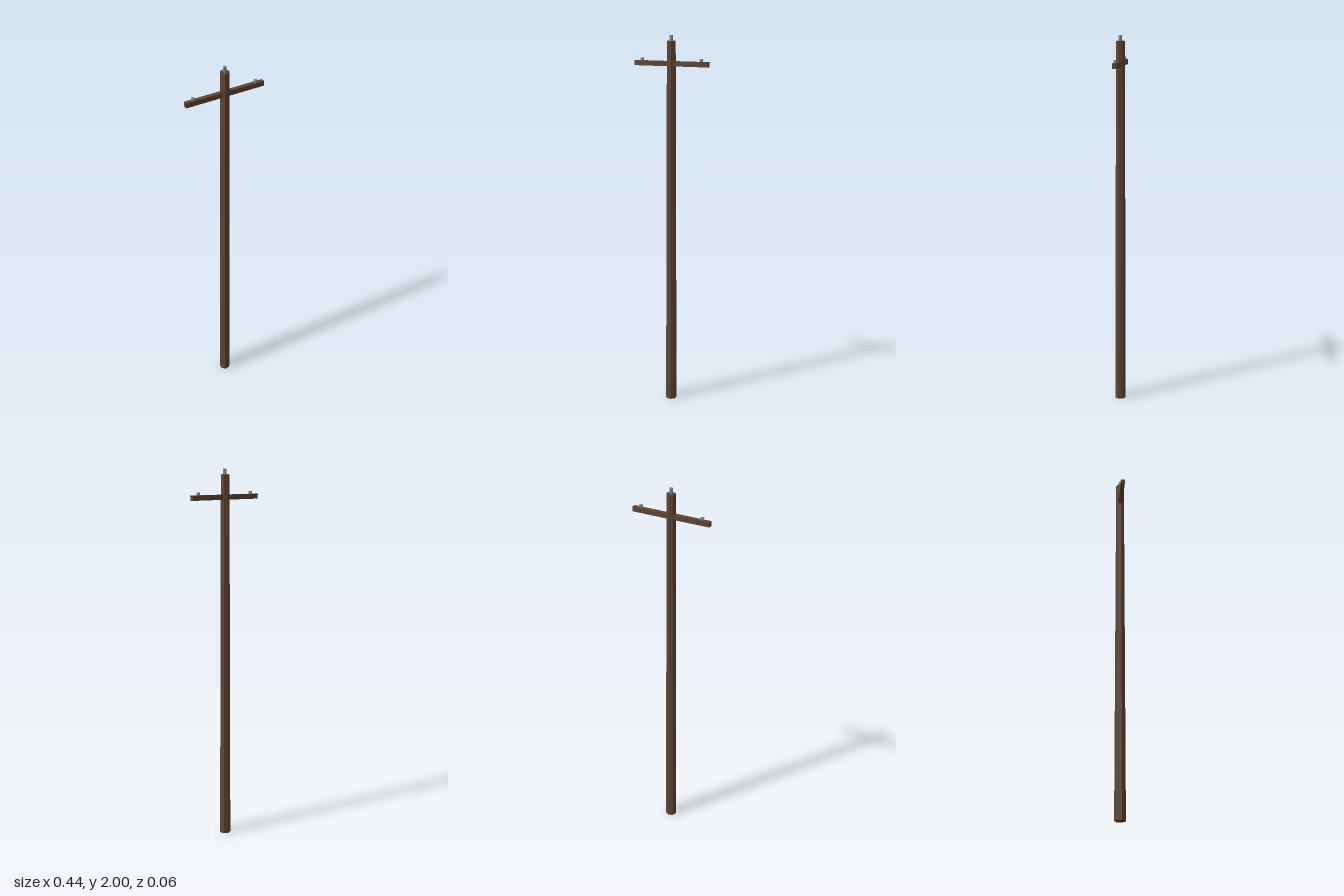
import * as THREE from 'three';

export function createModel() {
  const model = new THREE.Group();
  const wood = new THREE.MeshStandardMaterial({ name: 'brown wood', color: 0x5f4535, flatShading: true });
  const ceramic = new THREE.MeshStandardMaterial({ name: 'grey ceramic', color: 0x7f9090, flatShading: true });
  const axisZ = 0.001;

  const add = (name, geometry, material, x, y) => {
    const mesh = new THREE.Mesh(geometry, material);
    mesh.name = name;
    mesh.position.set(x, y, axisZ);
    model.add(mesh);
  };

  // Upright tapered prism with one corner pointing to the back
  const prism = (rTop, rBottom, height, sides) =>
    new THREE.CylinderGeometry(rTop, rBottom, height, sides).rotateY(Math.PI);

  // Seven-sided tapered pole
  add('pole', prism(0.0235, 0.0303, 1.972, 7), wood, 0, 0.986);

  // Horizontal beam through the pole
  add('crossarm', new THREE.BoxGeometry(0.437, 0.026, 0.022), wood, 0, 1.856);

  // Five-sided insulators on the pole top and near both arm ends
  const insulator = prism(0.0095, 0.0095, 0.04, 5);
  add('topInsulator', insulator, ceramic, 0, 1.98);
  for (const side of [-1, 1]) {
    add(side > 0 ? 'leftInsulator' : 'rightInsulator', prism(0.0095, 0.0095, 0.02, 5), ceramic, side * 0.175, 1.873);
  }
  return model;
}
